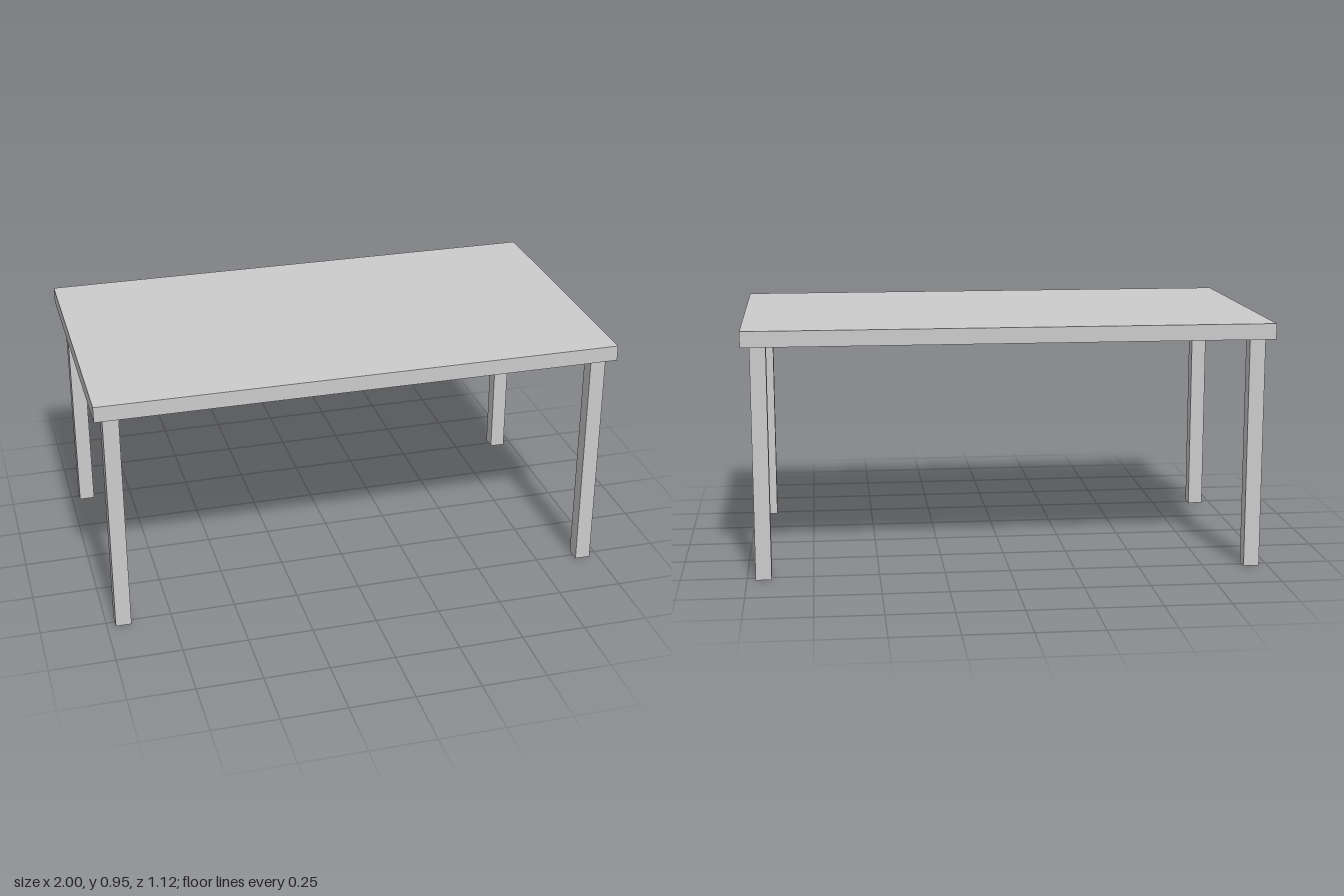
import * as THREE from 'three';

export function createModel() {
  const table = new THREE.Group();
  table.name = 'table';
  const material = new THREE.MeshStandardMaterial({ color: 0xcccccc });

  const legHeight = 0.89;
  const legWidth = 0.06;
  const topThickness = 0.06;

  // Flat rectangular top
  const top = new THREE.Mesh(new THREE.BoxGeometry(2, topThickness, 1.12), material);
  top.name = 'tableTop';
  top.position.y = legHeight + topThickness / 2;
  table.add(top);

  // Four square legs, set in slightly from the corners
  const legGeometry = new THREE.BoxGeometry(legWidth, legHeight, legWidth);
  for (const [zName, z] of [['front', 1], ['back', -1]]) {
    for (const [xName, x] of [['Left', 1], ['Right', -1]]) {
      const leg = new THREE.Mesh(legGeometry, material);
      leg.name = `${zName}${xName}Leg`;
      leg.position.set(x * 0.937, legHeight / 2, z * 0.5);
      table.add(leg);
    }
  }

  return table;
}
